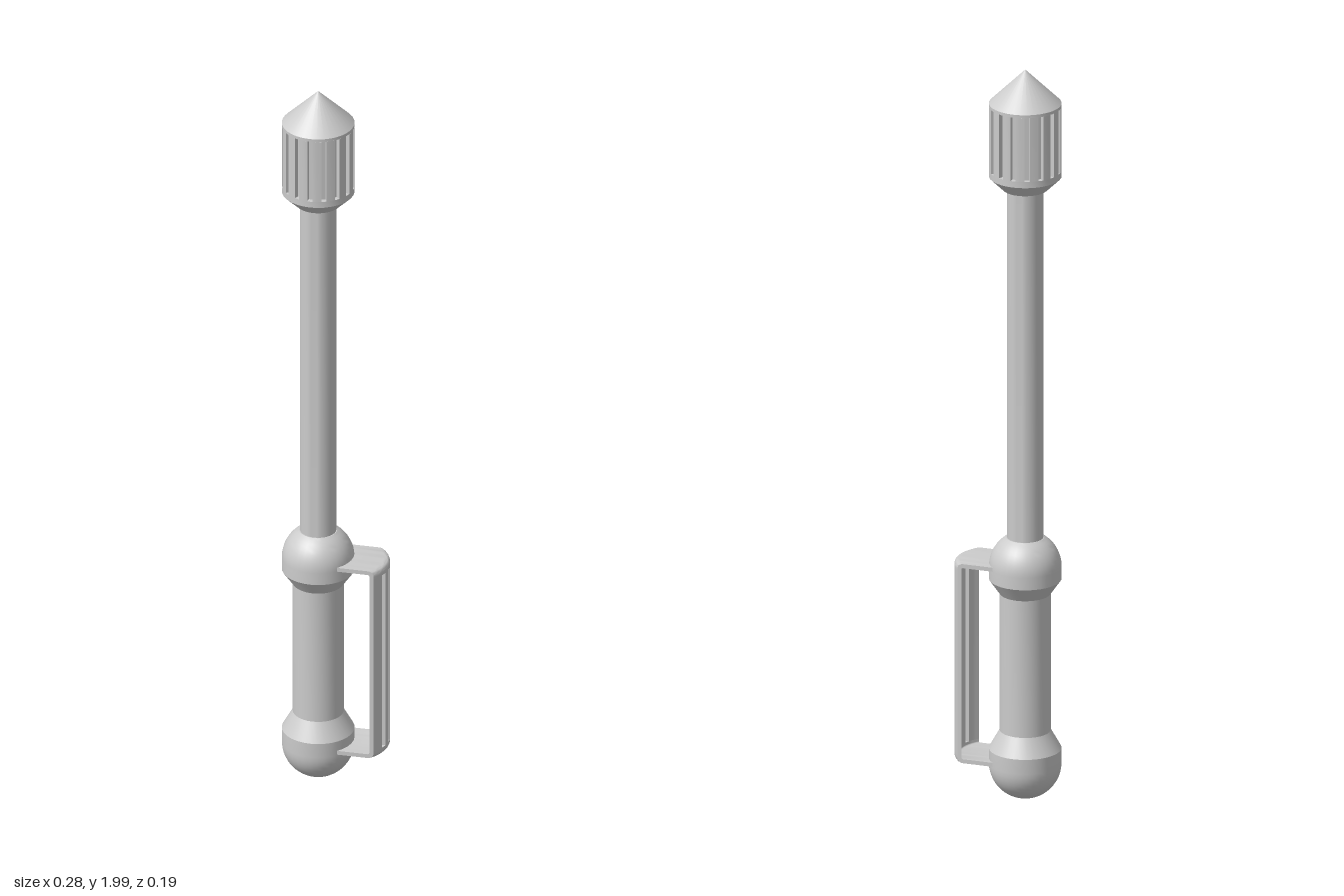
import * as THREE from 'three';
import { toCreasedNormals } from 'three/addons/utils/BufferGeometryUtils.js';

const AXIS = -0.047; // x of the main axis
const R = 0.094;     // widest radius of the body
const material = new THREE.MeshStandardMaterial({ color: 0xcccccc });

function addMesh(parent, name, geometry, x = 0) {
  const mesh = new THREE.Mesh(toCreasedNormals(geometry, 0.5), material);
  mesh.name = name;
  mesh.position.x = x;
  parent.add(mesh);
  return mesh;
}

// Turned part from [radius, y] pairs, bottom to top
function turned(parent, name, points) {
  const profile = points.map(([r, y]) => new THREE.Vector2(r, y));
  return addMesh(parent, name, new THREE.LatheGeometry(profile, 32), AXIS);
}

// Points on a sphere of radius R between two elevation angles
function ballArc(cy, from, to, steps = 10) {
  return Array.from({ length: steps + 1 }, (_, i) => {
    const a = from + (to - from) * i / steps;
    return [Math.max(0, R * Math.cos(a)), cy + R * Math.sin(a)];
  });
}

// Extrude an xy profile along z, curving its outer side backwards away from z = 0
function bentExtrude(shape, z0, z1, steps) {
  const geo = new THREE.ExtrudeGeometry(shape, { depth: z1 - z0, steps, bevelEnabled: false, curveSegments: 5 });
  geo.translate(0, 0, z0);
  const p = geo.attributes.position, bend = 0.0995;
  for (let i = 0; i < p.count; i++) {
    const z = p.getZ(i);
    if (p.getX(i) > 0.06) p.setX(i, p.getX(i) - (bend - Math.sqrt(bend * bend - z * z)));
  }
  return geo;
}

// Head barrel outline with evenly spaced square grooves
function flutedShape(count, outer, inner, halfWidth) {
  const shape = new THREE.Shape();
  for (let i = 0; i < count; i++) {
    const a = i * 2 * Math.PI / count, next = a + 2 * Math.PI / count;
    const w = halfWidth / outer;
    const at = (r, t) => [r * Math.cos(t), r * Math.sin(t)];
    if (i === 0) shape.moveTo(...at(inner, a - w));
    else shape.lineTo(...at(inner, a - w));
    shape.lineTo(...at(inner, a + w));
    shape.lineTo(...at(outer, a + w));
    shape.lineTo(...at(outer, (a + next) / 2));
    shape.lineTo(...at(outer, next - w));
  }
  shape.closePath();
  return shape;
}

export function createModel() {
  const model = new THREE.Group();
  model.name = 'baton';

  // Handle: bottom ball, grip, upper ball
  turned(model, 'pommel', [...ballArc(0.1, -Math.PI / 2, 0, 12), [R, 0.14], [0.066, 0.19], [0, 0.19]]);
  turned(model, 'grip', [[0.066, 0.18], [0.066, 0.575]]);
  turned(model, 'collar', [[0, 0.565], [0.066, 0.565], [R, 0.605], ...ballArc(0.638, 0, 1.02), [0, 0.72]]);

  // Shaft
  turned(model, 'shaft', [[0.047, 0.71], [0.047, 1.68]]);

  // Head: tapered base, fluted barrel, pointed cap
  const head = new THREE.Group();
  head.name = 'head';
  model.add(head);
  turned(head, 'headBase', [[0, 1.673], [0.058, 1.673], [R, 1.708], [R, 1.725], [0, 1.725]]);
  const barrel = new THREE.ExtrudeGeometry(flutedShape(16, R, 0.081, 0.007), { depth: 0.175, bevelEnabled: false });
  barrel.rotateX(-Math.PI / 2).translate(0, 1.725, 0);
  addMesh(head, 'headBarrel', barrel, AXIS);
  turned(head, 'headTip', [[0, 1.9], [R, 1.9], [R, 1.908], [0, 2]]);

  // Hand guard: two arms with rounded corners, joined by four curved bars
  const guard = new THREE.Group();
  guard.name = 'handGuard';
  model.add(guard);
  const outerX = 0.141, t = 0.011, half = 0.067;
  const midY = 0.375, top = 0.273, slotEnd = 0.252, bend = 0.016;

  const arm = new THREE.Shape();
  arm.moveTo(0, top - t);
  arm.lineTo(outerX - bend, top - t);
  arm.quadraticCurveTo(outerX - t, top - t, outerX - t, top - bend);
  arm.lineTo(outerX - t, slotEnd);
  arm.lineTo(outerX, slotEnd);
  arm.lineTo(outerX, top - bend);
  arm.quadraticCurveTo(outerX, top, outerX - bend, top);
  arm.lineTo(0, top);
  arm.closePath();
  for (const [name, side] of [['upperArm', 1], ['lowerArm', -1]]) {
    const mesh = addMesh(guard, name, bentExtrude(arm, -half, half, 16));
    mesh.scale.y = side;
    mesh.position.y = midY;
  }

  const bar = new THREE.Shape();
  bar.moveTo(outerX - t, -slotEnd);
  bar.lineTo(outerX, -slotEnd);
  bar.lineTo(outerX, slotEnd);
  bar.lineTo(outerX - t, slotEnd);
  bar.closePath();
  const slot = 0.007;
  const edges = [-half, -0.034 - slot, -0.034 + slot, -slot, slot, 0.034 - slot, 0.034 + slot, half];
  for (let i = 0; i < edges.length; i += 2) {
    addMesh(guard, 'guardBar', bentExtrude(bar, edges[i], edges[i + 1], 4)).position.y = midY;
  }

  return model;
}
